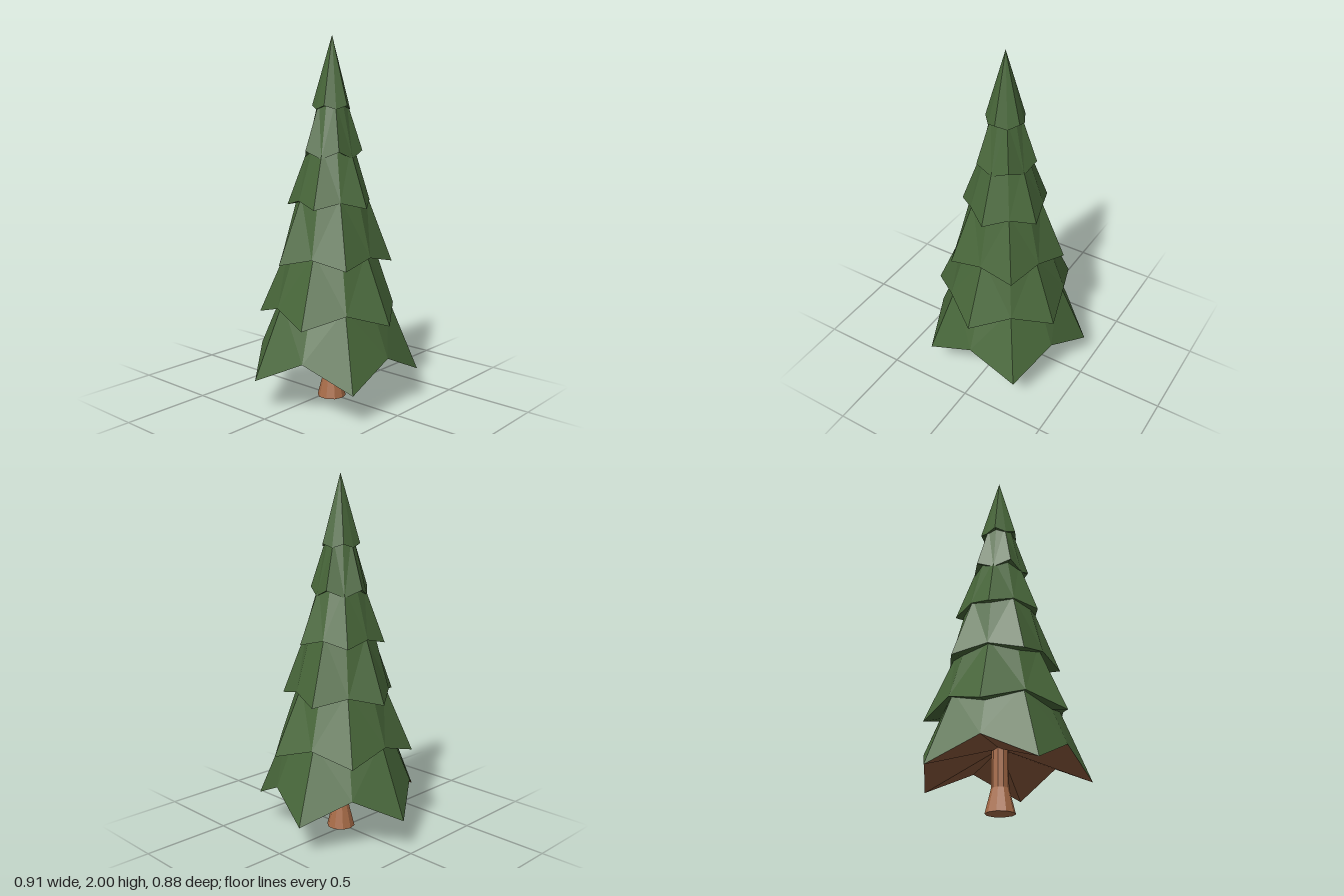
import * as THREE from 'three';

const AXIS_Z = 0.035;

// Tiers from the ground up: [radius, height] of the hem points, hem notches,
// upper ring under the points, upper ring under the notches; then underside height.
const TIERS = [
  { tip: [0.48, 0.17], notch: [0.395, 0.3], topTip: [0.31, 0.58], topNotch: [0.28, 0.58], under: 0.34 },
  { tip: [0.405, 0.48], notch: [0.34, 0.55], topTip: [0.24, 0.86], topNotch: [0.235, 0.86], under: 0.56 },
  { tip: [0.33, 0.785], notch: [0.27, 0.83], topTip: [0.19, 1.15], topNotch: [0.185, 1.15], under: 0.84 },
  { tip: [0.245, 1.09], notch: [0.205, 1.125], topTip: [0.13, 1.4], topNotch: [0.122, 1.4], under: 1.13 },
  { tip: [0.165, 1.39], notch: [0.145, 1.35], topTip: [0.08, 1.65], topNotch: [0.075, 1.65], under: 1.39 },
  { tip: [0.107, 1.63], notch: [0.098, 1.61], topTip: [0, 2], topNotch: [0, 2], under: 1.63 },
];

function flatGeometry(points) {
  const geometry = new THREE.BufferGeometry().setFromPoints(points);
  geometry.computeVertexNormals();
  return geometry;
}

// Five-pointed skirt; start is the angle of the first point, measured from +z
function tierGeometries(tier, start) {
  const at = ([r, y], k) => {
    const a = start + (k * Math.PI) / 5;
    return new THREE.Vector3(r * Math.sin(a), y, r * Math.cos(a));
  };
  const outer = [];
  const under = [];
  const centre = new THREE.Vector3(0, tier.under, 0);
  for (let k = 0; k < 10; k++) {
    const even = k % 2 === 0;
    const a = at(even ? tier.tip : tier.notch, k);
    const b = at(even ? tier.notch : tier.tip, k + 1);
    const topA = at(even ? tier.topTip : tier.topNotch, k);
    const topB = at(even ? tier.topNotch : tier.topTip, k + 1);
    if (tier.topTip[0] === 0) {
      outer.push(a, b, topA);
    } else if (even) {
      outer.push(a, b, topA, b, topB, topA);
    } else {
      outer.push(a, b, topB, a, topB, topA);
    }
    under.push(b, a, centre);
  }
  return [flatGeometry(outer), flatGeometry(under)];
}

export function createModel() {
  const tree = new THREE.Group();
  tree.name = 'firTree';
  const green = new THREE.MeshStandardMaterial({ color: 0x48673a, flatShading: true });
  const brown = new THREE.MeshStandardMaterial({ color: 0xa86c48, flatShading: true });
  const darkBrown = new THREE.MeshStandardMaterial({ color: 0x8c5a3c, flatShading: true });

  const add = (name, geometry, material) => {
    const mesh = new THREE.Mesh(geometry, material);
    mesh.name = name;
    mesh.position.z = AXIS_Z;
    tree.add(mesh);
  };

  // Trunk with a flared foot
  const profile = [[0, 0], [0.08, 0], [0.047, 0.13], [0.045, 0.37]];
  add('trunk', new THREE.LatheGeometry(profile.map(([r, y]) => new THREE.Vector2(r, y)), 10), brown);

  // Foliage tiers, each turned half a step from the one below
  TIERS.forEach((tier, i) => {
    const [outer, under] = tierGeometries(tier, i % 2 === 0 ? Math.PI : 0);
    add(`foliageTier${i + 1}`, outer, green);
    add(`foliageUnderside${i + 1}`, under, i === 0 ? darkBrown : green);
  });

  return tree;
}
